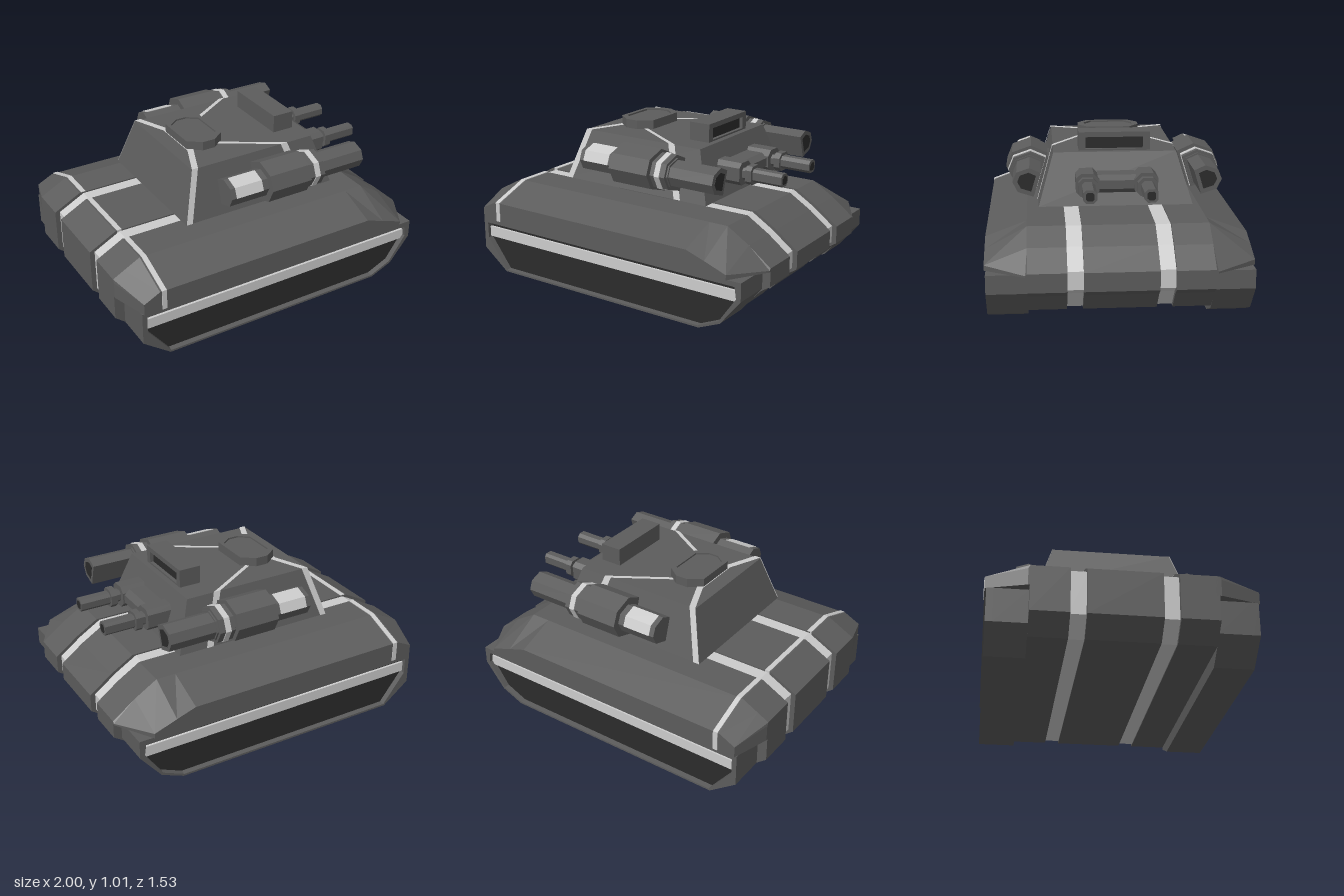
import * as THREE from 'three';

const hullMat = new THREE.MeshStandardMaterial({ color: 0x5c5c5c, flatShading: true, side: THREE.DoubleSide });
const lightMat = new THREE.MeshStandardMaterial({ color: 0xcccccc, flatShading: true, side: THREE.DoubleSide });
const darkMat = new THREE.MeshStandardMaterial({ color: 0x2b2b2b, flatShading: true, side: THREE.DoubleSide });

const shapeOf = pts => new THREE.Shape(pts.map(p => new THREE.Vector2(p[0], p[1])));

export function createModel() {
  const model = new THREE.Group();
  const add = (name, geo, mat = hullMat, parent = model) => {
    const m = new THREE.Mesh(geo, mat);
    m.name = name;
    parent.add(m);
    return m;
  };

  // side profile (x, y) swept from z0 to z1, with an optional hole
  const alongZ = (pts, z0, z1, hole) => {
    const s = shapeOf(pts);
    if (hole) s.holes.push(new THREE.Path(hole.map(p => new THREE.Vector2(p[0], p[1]))));
    return new THREE.ExtrudeGeometry(s, { depth: z1 - z0, bevelEnabled: false }).translate(0, 0, z0);
  };
  // front profile (z, y) swept from x0 to x1
  const alongX = (pts, x0, x1) =>
    new THREE.ExtrudeGeometry(shapeOf(pts.map(([z, y]) => [-z, y])), { depth: x1 - x0, bevelEnabled: false })
      .rotateY(Math.PI / 2).translate(x0, 0, 0);
  const box = (x0, x1, y0, y1, z0, z1) =>
    new THREE.BoxGeometry(x1 - x0, y1 - y0, z1 - z0).translate((x0 + x1) / 2, (y0 + y1) / 2, (z0 + z1) / 2);

  // closed solid through cross-section rings, capped at both ends
  const loft = (rings, flip = false) => {
    const n = rings[0].length, idx = [];
    const tri = (a, b, c) => idx.push(a, flip ? c : b, flip ? b : c);
    for (let i = 0; i < rings.length - 1; i++) {
      for (let j = 0; j < n; j++) {
        const k = (j + 1) % n, a = i * n, b = a + n;
        tri(a + j, a + k, b + k);
        tri(a + j, b + k, b + j);
      }
    }
    const end = (rings.length - 1) * n;
    for (let j = 1; j < n - 1; j++) {
      tri(0, j + 1, j);
      tri(end, end + j, end + j + 1);
    }
    const g = new THREE.BufferGeometry();
    g.setAttribute('position', new THREE.Float32BufferAttribute(rings.flat(2), 3));
    g.setIndex(idx);
    const flat = g.toNonIndexed();
    flat.computeVertexNormals();
    return flat;
  };
  // flat strip of width w (in x) through a list of points
  const ribbon = (pts, w) => {
    const pos = [];
    for (let i = 0; i < pts.length - 1; i++) {
      const [a, b] = [pts[i], pts[i + 1]];
      const [c, d] = [a, b].map(p => [p[0] + w, p[1], p[2]]);
      pos.push(...a, ...b, ...d, ...a, ...d, ...c);
    }
    // orient each face upward
    for (let t = 0; t < pos.length; t += 9) {
      const v = [0, 3, 6].map(o => new THREE.Vector3(...pos.slice(t + o, t + o + 3)));
      const n = v[1].clone().sub(v[0]).cross(v[2].clone().sub(v[0]));
      if (n.y < 0) for (let k = 0; k < 3; k++) [pos[t + 3 + k], pos[t + 6 + k]] = [pos[t + 6 + k], pos[t + 3 + k]];
    }
    const g = new THREE.BufferGeometry();
    g.setAttribute('position', new THREE.Float32BufferAttribute(pos, 3));
    g.computeVertexNormals();
    return g;
  };

  // hull: centre slab, inset light seams, side slabs
  const hull = [[-1, 0.45], [-1, 0.18], [-0.88, 0.08], [0.83, 0.08], [0.94, 0.2], [1, 0.24], [1, 0.35], [0.86, 0.455], [0.72, 0.54], [-0.83, 0.54]];
  const seam = hull.map(([x, y]) => [x * 0.97, 0.31 + (y - 0.31) * 0.965]);
  add('hullCentre', alongZ(hull, -0.21, 0.21));
  add('rearBandCentre', box(-0.82, -0.79, 0.5, 0.544, -0.21, 0.21), lightMat);

  // track pods: outer outline and recessed side opening
  const pod = [[-0.94, 0.33], [-0.94, 0.13], [-0.77, 0], [0.68, 0], [0.82, 0.06], [0.95, 0.22], [0.95, 0.33]];
  const opening = [[-0.91, 0.3], [-0.91, 0.2], [-0.765, 0.012], [0.675, 0.012], [0.81, 0.072], [0.92, 0.23], [0.91, 0.3]];

  // fender stations: x, top height, outer z, outer edge height
  const stations = [
    [-1, 0.45, 0.53, 0.43], [-0.93, 0.487, 0.76, 0.4], [-0.83, 0.54, 0.76, 0.45], [0.6, 0.54, 0.76, 0.45],
    [0.72, 0.54, 0.76, 0.41], [0.86, 0.455, 0.76, 0.36], [1, 0.35, 0.53, 0.34]];
  const fenderRing = ([x, top, oz, oy], s, lift = 0, inner = 0.5) => [
    [inner, top + lift], [0.52, top + lift], [oz + lift, oy + lift], [oz + lift, 0.33], [inner, 0.33]].map(([z, y]) => [x, y, s * z]);

  // side gun cross-section (z, y) scaled about its axis
  const gunSection = [[0.39, 0.86], [0.49, 0.905], [0.605, 0.865], [0.64, 0.78], [0.595, 0.69], [0.455, 0.645]];
  const gun = (k, s) => gunSection.map(([z, y]) => [s * (0.515 + (z - 0.515) * k), 0.785 + (y - 0.785) * k]);
  const smallGun = (r, s) => [[-1, 0.5], [-0.5, 1], [0.6, 1], [1, 0.6], [1, -0.6], [0.6, -1], [-0.5, -1], [-1, -0.5]]
    .map(([z, y]) => [s * (0.168 + z * r), 0.745 + y * r]);

  for (const s of [1, -1]) {
    const side = new THREE.Group();
    side.name = s > 0 ? 'leftSide' : 'rightSide';
    model.add(side);
    const span = (pts, a, b, hole) => alongZ(pts, Math.min(s * a, s * b), Math.max(s * a, s * b), hole);

    add('hullSeam', span(seam, 0.2, 0.31), lightMat, side);
    add('hullSide', span(hull, 0.3, 0.52), hullMat, side);
    add('fender', loft(stations.map(r => fenderRing(r, s)), s < 0), hullMat, side);
    add('rearBand', loft([-0.82, -0.79].map(x => fenderRing([x, 0.54, 0.76, 0.45], s, 0.004, 0.3)), s < 0), lightMat, side);

    add('trackPod', span(pod, 0.52, 0.71), hullMat, side);
    add('trackFrame', span(pod, 0.71, 0.75, opening), hullMat, side);
    add('trackPanel', span(opening, 0.705, 0.715), darkMat, side);
    add('trackStrip', span([[-0.91, 0.205], [0.905, 0.205], [0.92, 0.23], [0.915, 0.27], [-0.91, 0.27]], 0.715, 0.73), lightMat, side);

    // side gun: light rear cell, receiver, collars, barrel
    add('sideGunRear', alongX(gun(0.66, s), -0.27, -0.02), hullMat, side);
    const cell = gun(0.69, s);
    add('sideGunCell', alongX([cell[1], cell[2], cell[3], [s * 0.515, 0.785]], -0.24, -0.06), lightMat, side);
    add('sideGunReceiver', alongX(gun(1, s), -0.02, 0.25), hullMat, side);
    add('sideGunNeck', alongX(gun(0.72, s), 0.25, 0.37), hullMat, side);
    add('sideGunCollar', alongX(gun(0.86, s), 0.26, 0.29), hullMat, side);
    add('sideGunBand', alongX(gun(0.9, s), 0.29, 0.325), lightMat, side);
    add('sideGunCollar', alongX(gun(0.86, s), 0.325, 0.36), hullMat, side);
    add('sideGunBarrel', alongX(gun(0.64, s), 0.36, 0.66), hullMat, side);
    add('sideGunBore', alongX(gun(0.42, s), 0.6, 0.662), darkMat, side);
    add('sideGunMount', alongX([[0.36, 0.83], [0.41, 0.84], [0.47, 0.68], [0.41, 0.67]].map(([z, y]) => [s * z, y]), 0, 0.23), hullMat, side);

    // front gun
    add('frontGunHousing', alongX(smallGun(0.067, s), 0.42, 0.62), hullMat, side);
    add('frontGunNeck', alongX(smallGun(0.035, s), 0.62, 0.66), hullMat, side);
    add('frontGunCollar', alongX(smallGun(0.055, s), 0.65, 0.69), hullMat, side);
    add('frontGunBarrel', alongX(smallGun(0.038, s), 0.69, 0.88), hullMat, side);
    add('frontGunBore', alongX(smallGun(0.024, s), 0.85, 0.882), darkMat, side);

    // light trim running from the hatch down the turret side
    add('turretTrimFront', ribbon([[-0.135, 0.904, 0], [-0.135, 0.904, s * 0.15], [0.21, 0.904, s * 0.364], [0.31, 0.602, s * 0.455]], 0.045), lightMat, side);
    add('turretTrimRear', ribbon([[-0.31, 0.904, 0], [-0.31, 0.904, s * 0.15], [-0.4, 0.904, s * 0.364], [-0.49, 0.602, s * 0.455]], 0.04), lightMat, side);
  }

  // turret
  const rect = (x0, x1, y, z) => [[x0, y, z], [x1, y, z], [x1, y, -z], [x0, y, -z]];
  add('turretRing', box(-0.2, 0.25, 0.52, 0.61, -0.31, 0.31));
  add('turretBody', loft([rect(-0.49, 0.53, 0.6, 0.45), rect(-0.4, 0.43, 0.9, 0.36)]));
  add('gunMantlet', alongZ([[0.42, 0.69], [0.57, 0.69], [0.61, 0.72], [0.61, 0.77], [0.57, 0.795], [0.42, 0.795]], -0.11, 0.11));

  // roof hatch
  const hatch = k => [[-0.12, -0.13], [-0.04, -0.19], [0.04, -0.19], [0.12, -0.13], [0.12, 0.13], [0.04, 0.19], [-0.04, 0.19], [-0.12, 0.13]]
    .map(([x, y]) => [x * k, y * k]);
  const rim = shapeOf(hatch(1));
  rim.holes.push(new THREE.Path(hatch(0.8).map(p => new THREE.Vector2(p[0], p[1]))));
  const lay = (shape, h) => new THREE.ExtrudeGeometry(shape, { depth: h, bevelEnabled: false }).rotateX(-Math.PI / 2).translate(-0.185, 0.9, 0);
  add('hatchRim', lay(rim, 0.055));
  add('hatchLid', lay(shapeOf(hatch(0.8)), 0.045));

  // sight box with recessed window
  add('sightBox', box(0.26, 0.37, 0.9, 1.01, -0.21, 0.21));
  const frame = shapeOf([[-0.21, 0.9], [0.21, 0.9], [0.21, 1.01], [-0.21, 1.01]]);
  frame.holes.push(new THREE.Path([[-0.17, 0.91], [0.17, 0.91], [0.17, 0.98], [-0.17, 0.98]].map(p => new THREE.Vector2(...p))));
  add('sightFrame', new THREE.ExtrudeGeometry(frame, { depth: 0.03, bevelEnabled: false }).rotateY(Math.PI / 2).translate(0.365, 0, 0));
  add('sightWindow', box(0.36, 0.373, 0.91, 0.98, -0.17, 0.17), darkMat);

  return model;
}
